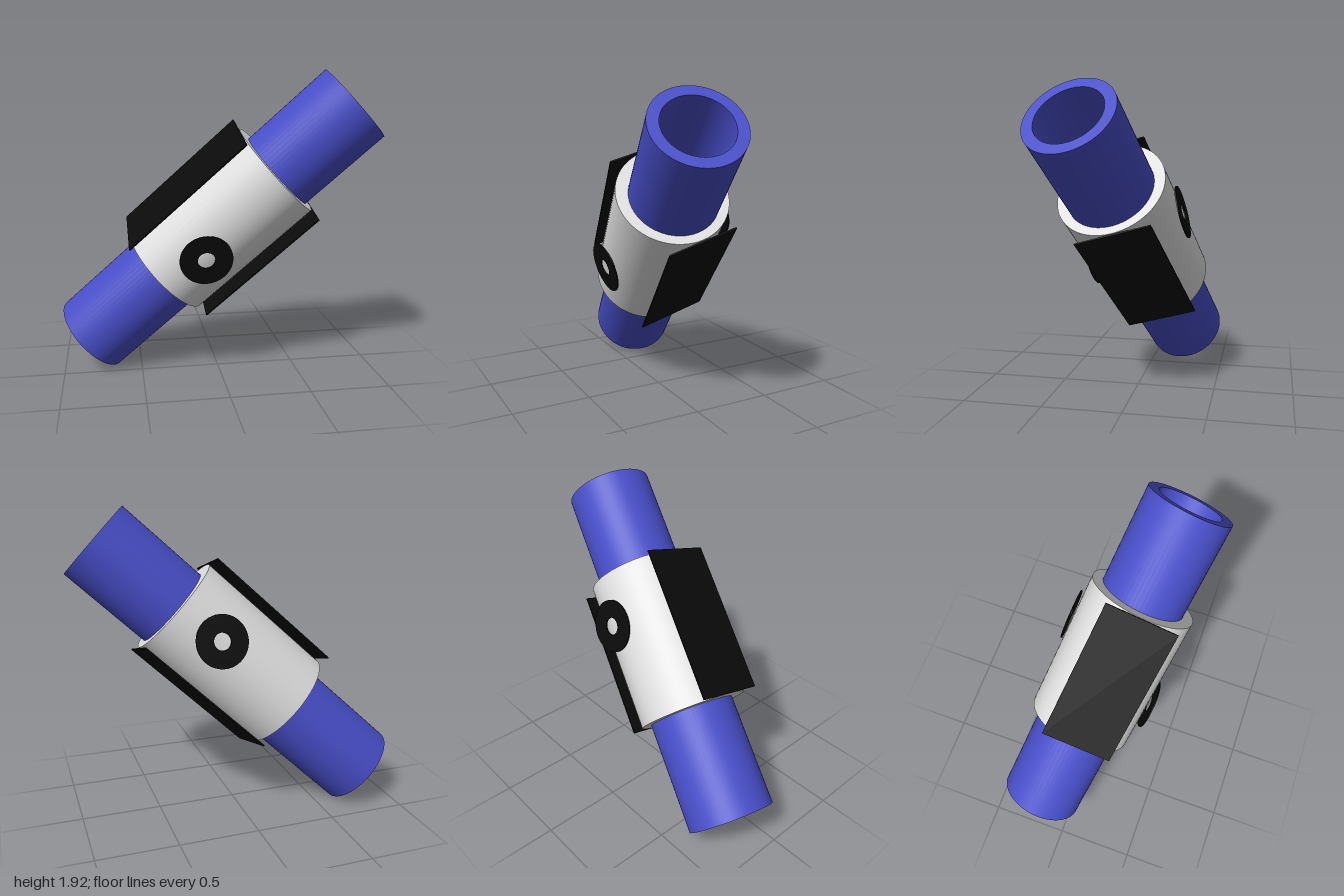
import * as THREE from 'three';

const material = (name, color) => Object.assign(new THREE.MeshStandardMaterial({ color }), { name });

// Flat ring with real thickness, extruded along +z and centred
function ringGeometry(outer, inner, depth, segments) {
  const shape = new THREE.Shape().absarc(0, 0, outer, 0, Math.PI * 2);
  shape.holes.push(new THREE.Path().absarc(0, 0, inner, 0, Math.PI * 2, true));
  return new THREE.ExtrudeGeometry(shape, { depth, bevelEnabled: false, curveSegments: segments })
    .translate(0, 0, -depth / 2);
}

// Hollow cylinder along y; repeated profile corners keep the rims sharp
function pipeGeometry(outer, inner, length) {
  const h = length / 2;
  const profile = [
    [inner, -h], [outer, -h], [outer, -h], [outer, h],
    [outer, h], [inner, h], [inner, h], [inner, -h],
  ].map(([r, y]) => new THREE.Vector2(r, y));
  const geometry = new THREE.LatheGeometry(profile, 64);
  // Exact normals: each profile pair is either a rim or a wall
  const pos = geometry.attributes.position, nor = geometry.attributes.normal;
  for (let i = 0; i < pos.count; i++) {
    const k = Math.floor((i % 8) / 2);
    const a = Math.atan2(pos.getZ(i), pos.getX(i));
    const s = [0, 1, 0, -1][k];
    nor.setXYZ(i, s * Math.cos(a), [-1, 0, 1, 0][k], s * Math.sin(a));
  }
  return geometry;
}

export function createModel() {
  const blue = material('blue', 0x484ec8);
  const white = material('white', 0xe0e0e0);
  const black = material('black', 0x0b0b0b);

  const model = new THREE.Group();
  model.name = 'sleevedTube';
  const add = (name, geometry, mat, x, y, z) => {
    const mesh = new THREE.Mesh(geometry, mat);
    mesh.name = name;
    mesh.position.set(x, y, z);
    model.add(mesh);
  };

  // Long open tube
  add('innerTube', pipeGeometry(0.27, 0.203, 2.266), blue, 0, 0, 0);

  // Thicker sleeve around the middle
  const sleeveX = -0.015, sleeveY = 0.034;
  add('sleeve', pipeGeometry(0.338, 0.24, 0.95), white, sleeveX, sleeveY, 0);

  for (const side of [1, -1]) {
    // Flat plates on opposite sides of the sleeve
    add(side > 0 ? 'lowerPlate' : 'upperPlate', new THREE.BoxGeometry(0.009, 0.951, 0.455),
      black, sleeveX + side * 0.348, sleeveY, 0);
    // Washers on the front and back of the sleeve
    add(side > 0 ? 'frontWasher' : 'backWasher', ringGeometry(0.162, 0.053, 0.008, 32),
      black, -side * 0.033, sleeveY - side * 0.165, side * 0.351);
  }

  // Lean the whole assembly along its diagonal axis
  const axis = new THREE.Vector3(0.812, 0.763, 0.207).normalize();
  const across = new THREE.Vector3().crossVectors(new THREE.Vector3(1, 0, 0), axis).normalize();
  const normal = new THREE.Vector3().crossVectors(axis, across);
  model.quaternion.setFromRotationMatrix(new THREE.Matrix4().makeBasis(normal, axis, across));
  model.position.y = 0.963;

  const root = new THREE.Group();
  root.name = 'model';
  root.add(model);
  return root;
}
